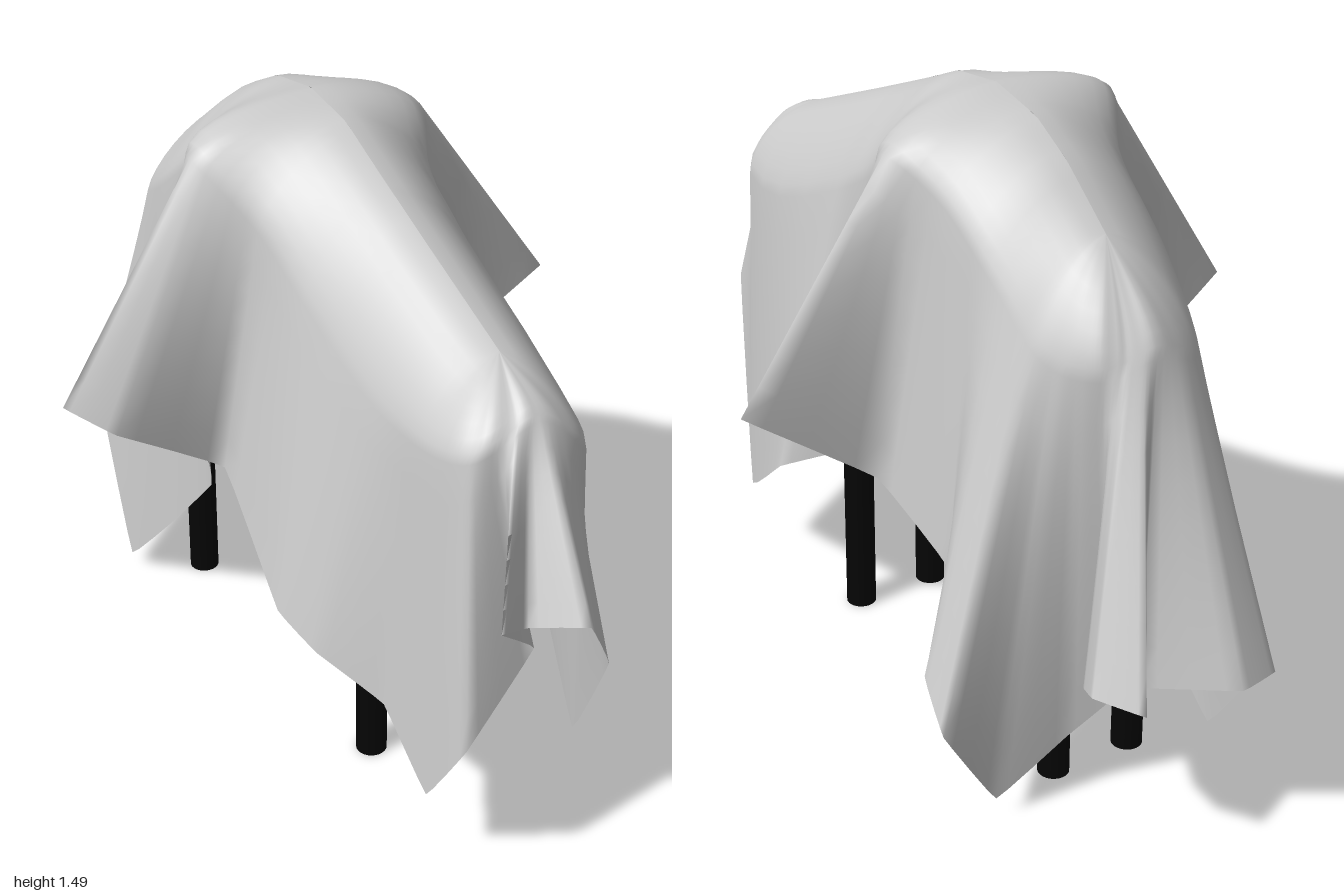
import * as THREE from 'three';

const V = (x, y, z) => new THREE.Vector3(x, y, z);

// height of the cloth along its ridge, front to back: [z, y]
const RIDGE = [[0.7, 1.17], [0.3, 1.335], [0.1, 1.42], [0, 1.465], [-0.15, 1.485], [-0.3, 1.455], [-0.41, 1.395], [-0.55, 1.285]];

// ring where the cloth leaves the body, from the front round by +x
const SHOULDER = [
  [0, 1.13, 0.76], [0.12, 1.02, 0.75], [0.19, 1.04, 0.5], [0.21, 1.16, 0.2], [0.22, 1.27, 0],
  [0.28, 1.38, -0.15], [0.23, 1.31, -0.29], [0.21, 1.19, -0.45], [0.17, 1.05, -0.6], [0.1, 1.04, -0.7],
  [0, 1.08, -0.735], [-0.13, 1.04, -0.7], [-0.21, 1.14, -0.5], [-0.23, 1.3, -0.29], [-0.31, 1.4, -0.13],
  [-0.23, 1.27, 0.02], [-0.21, 1.16, 0.2], [-0.19, 1.04, 0.5], [-0.15, 1.06, 0.73],
];

// hem corners and fold tips: [x, y, z, position along the shoulder ring]
const HEM = [
  // front flap and +x side
  [-0.03, 0.79, 1, 0], [0.06, 0.63, 0.95, 0.4], [0.2, 0.19, 0.66, 1.2], [0.34, 0.48, 0.24, 3],
  [0.24, 0.54, 0.13, 3.5], [0.22, 0.65, -0.08, 4.1], [0.28, 0.68, -0.14, 4.5], [0.635, 0.865, -0.15, 5],
  [0.33, 0.65, -0.19, 5.6], [0.28, 0.51, -0.4, 6.6], [0.43, 0.37, -0.54, 7.3], [0.44, 0.27, -0.63, 7.7],
  // back
  [0.3, 0.05, -0.62, 8.1], [0.13, 0.16, -0.64, 8.5], [0.04, 0.26, -0.69, 8.9], [0.2, 0.4, -0.79, 9.2],
  [0.25, 0.45, -0.89, 9.4], [0.18, 0.43, -0.98, 9.7], [0.13, 0.43, -0.89, 10], [-0.05, 0.42, -1, 10.5],
  [-0.16, 0.41, -0.97, 11], [-0.23, 0.31, -0.84, 11.4], [-0.27, 0.04, -0.63, 12],
  // -x side
  [-0.25, 0.28, -0.4, 12.6], [-0.25, 0.5, -0.2, 13.2], [-0.29, 0.62, -0.14, 13.6], [-0.64, 0.88, -0.13, 14],
  [-0.55, 0.82, -0.055, 14.3], [-0.29, 0.65, -0.05, 15], [-0.34, 0.48, 0.28, 16.2], [-0.31, 0.43, 0.4, 16.7],
  [-0.23, 0.36, 0.55, 17.2], [-0.22, 0.22, 0.71, 17.7],
  // folds beside the front flap
  [-0.2, 0.42, 0.83, 18], [-0.02, 0.6, 0.8, 18.3], [-0.21, 0.81, 0.95, 18.6], [-0.11, 0.755, 0.9, 18.8],
];

// ridge position and slope nearest to a given z
function ridgeAt(z) {
  const zc = THREE.MathUtils.clamp(z, -0.55, 0.6);
  const i = RIDGE.findIndex((p, k) => k > 0 && zc >= p[0]);
  const [z0, y0] = RIDGE[i - 1], [z1, y1] = RIDGE[i];
  const slope = (y1 - y0) / (z1 - z0);
  return { point: V(0, y0 + slope * (zc - z0), zc), slope };
}

function clothGeometry() {
  const shoulderCurve = new THREE.CatmullRomCurve3(SHOULDER.map(p => V(...p)), true);
  const hemCurve = new THREE.CatmullRomCurve3(HEM.map(p => V(p[0], p[1], p[2])), true, 'catmullrom', 0.08);
  const n = SHOULDER.length, sub = 4, cols = HEM.length * sub, topRows = 8, sideRows = 8;
  const rows = topRows + sideRows;
  const pos = [], index = [];

  for (let c = 0; c < cols; c++) {
    const k = Math.floor(c / sub), f = (c % sub) / sub;
    const t0 = HEM[k][3], t1 = k + 1 < HEM.length ? HEM[k + 1][3] : n;
    const s = shoulderCurve.getPoint((t0 + (t1 - t0) * f) / n);
    const h = hemCurve.getPoint(c / cols);
    const { point: r, slope } = ridgeAt(s.z);
    // the top curve leaves the ridge along its slope and meets the straight side smoothly
    const reach = r.distanceTo(s) * 0.3;
    const out = V(s.x - r.x, 0, s.z - r.z).normalize();
    out.y = slope * out.z;
    const fall = h.clone().sub(s).normalize();
    const top = new THREE.CubicBezierCurve3(
      r, r.clone().addScaledVector(out, reach), s.clone().addScaledVector(fall, -0.8 * reach), s);
    for (let j = 0; j <= rows; j++) {
      const p = j <= topRows ? top.getPoint(j / topRows) : s.clone().lerp(h, (j - topRows) / sideRows);
      pos.push(p.x, p.y, p.z);
    }
  }
  for (let c = 0; c < cols; c++) {
    const a = c * (rows + 1), b = ((c + 1) % cols) * (rows + 1);
    for (let j = 0; j < rows; j++) {
      index.push(a + j, a + j + 1, b + j, b + j, a + j + 1, b + j + 1);
    }
  }
  const g = new THREE.BufferGeometry();
  g.setAttribute('position', new THREE.Float32BufferAttribute(pos, 3));
  g.setIndex(index);
  g.computeVertexNormals();
  return g;
}

export function createModel() {
  const group = new THREE.Group();
  const clothMat = new THREE.MeshStandardMaterial({ color: 0xcccccc, side: THREE.DoubleSide });
  const blackMat = new THREE.MeshStandardMaterial({ color: 0x050505 });
  const add = (name, geometry, material) => {
    const m = new THREE.Mesh(geometry, material);
    m.name = name;
    group.add(m);
    return m;
  };

  add('drapedCloth', clothGeometry(), clothMat);

  // body under the cloth, narrow at the waist
  const profile = new THREE.SplineCurve([
    [0, -0.6], [0.12, -0.55], [0.15, -0.42], [0.1, -0.2], [0.06, 0], [0.08, 0.18], [0.16, 0.4], [0.13, 0.57], [0, 0.62],
  ].map(p => new THREE.Vector2(...p)));
  const body = add('body', new THREE.LatheGeometry(profile.getPoints(32), 24), blackMat);
  body.rotation.x = Math.PI / 2;
  body.position.y = 0.89;

  // four round legs
  for (const [end, z] of [['front', 0.295], ['back', -0.545]]) {
    for (const [side, x] of [['Left', 0.097], ['Right', -0.105]]) {
      const leg = add(`${end}${side}Leg`, new THREE.CylinderGeometry(0.036, 0.036, 0.85, 24), blackMat);
      leg.position.set(x, 0.425, z);
    }
  }
  return group;
}
